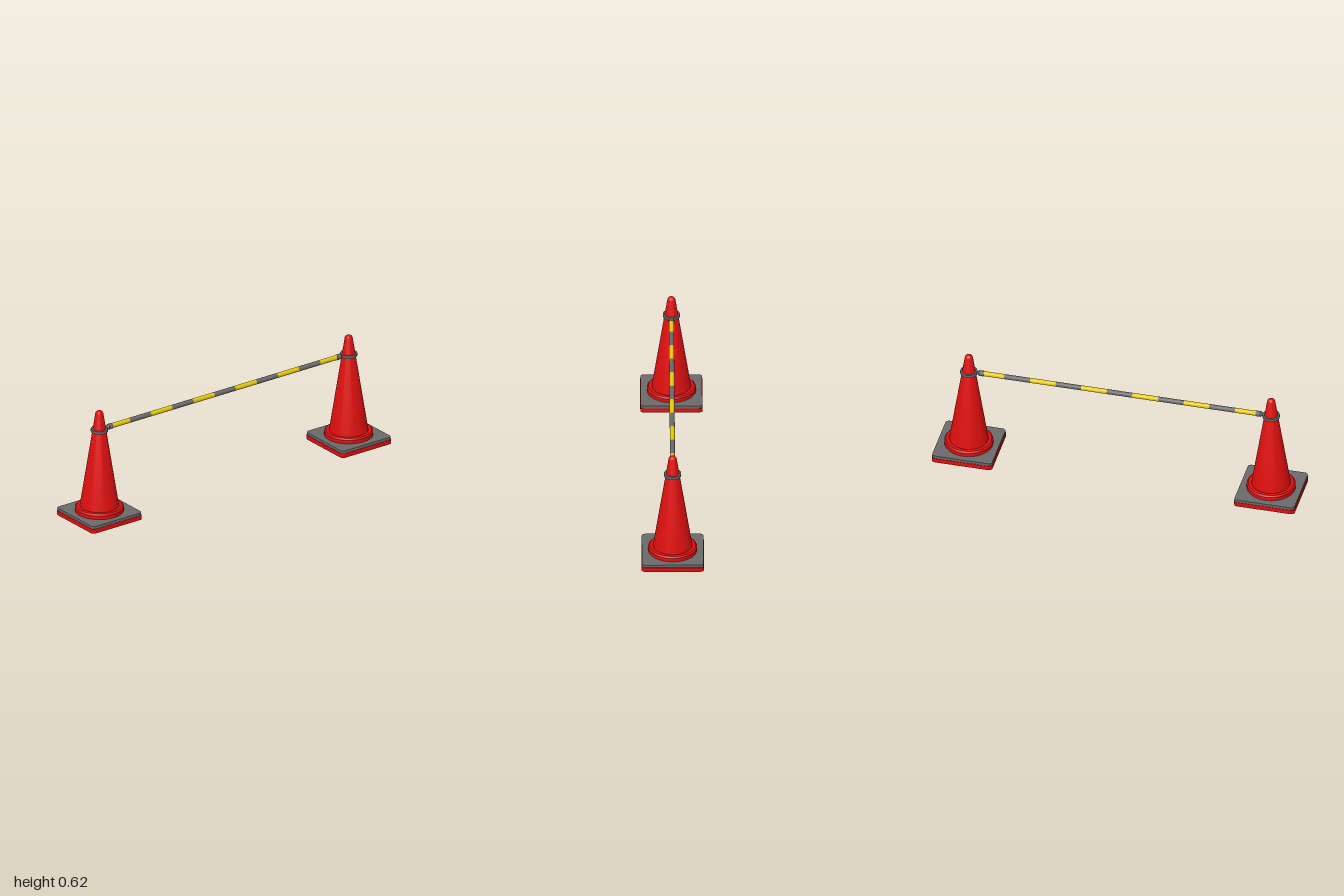
import * as THREE from 'three';
import { toCreasedNormals } from 'three/addons/utils/BufferGeometryUtils.js';

const material = (name, color) => {
  const m = new THREE.MeshStandardMaterial({ color });
  m.name = name;
  return m;
};

// Rounded square outline, as a Shape or as a Path for a hole
function roundedSquare(path, h, r) {
  path.moveTo(h - r, -h);
  path.absarc(h - r, -h + r, r, -Math.PI / 2, 0);
  path.absarc(h - r, h - r, r, 0, Math.PI / 2);
  path.absarc(-h + r, h - r, r, Math.PI / 2, Math.PI);
  path.absarc(-h + r, -h + r, r, Math.PI, Math.PI * 1.5);
  path.closePath();
  return path;
}

// Flat square slab with a hole, lying between y0 and y1
function slab(half, hole, y0, y1) {
  const shape = roundedSquare(new THREE.Shape(), half, 0.02);
  shape.holes.push(hole);
  const g = new THREE.ExtrudeGeometry(shape, { depth: y1 - y0, bevelEnabled: false, curveSegments: 16 });
  return toCreasedNormals(g.rotateX(-Math.PI / 2).translate(0, y0, 0), 0.6);
}

const roundHole = r => new THREE.Path().absarc(0, 0, r, 0, Math.PI * 2);

function lathe(points, segments = 48) {
  const g = new THREE.LatheGeometry(points.map(p => new THREE.Vector2(...p)), segments);
  return toCreasedNormals(g, 0.5);
}

export function createModel() {
  const red = material('red plastic', 0xdd0f0f);
  const grey = material('grey rubber', 0x6a6a6a);
  const yellow = material('yellow stripe', 0xe2c80e);
  const model = new THREE.Group();
  const add = (parent, name, geometry, mat) => {
    const mesh = new THREE.Mesh(geometry, mat);
    mesh.name = name;
    parent.add(mesh);
    return mesh;
  };

  // Hollow cone: collar, slope and domed tip outside, then back down inside
  const dome = [];
  for (let i = 0; i <= 8; i++) {
    const a = 0.15 + (Math.PI / 2 - 0.15) * i / 8;
    dome.push([i === 8 ? 0 : 0.022 * Math.cos(a), 0.6 + 0.022 * Math.sin(a)]);
  }
  const body = lathe([
    [0.131, 0.022], [0.131, 0.061], [0.123, 0.069], [0.105, 0.069],
    ...dome,
    [0, 0.606], [0.015, 0.595], [0.098, 0.06], [0.122, 0.06], [0.122, 0.02],
  ]);

  const rim = slab(0.167, roundedSquare(new THREE.Path(), 0.153, 0.012), 0, 0.025);
  const ceiling = slab(0.16, roundHole(0.122), 0.019, 0.0245);
  const weight = slab(0.165, roundHole(0.128), 0.025, 0.04);
  const clip = lathe([[0.036, 0.5], [0.046, 0.5], [0.046, 0.516], [0.036, 0.516], [0.036, 0.5]]);

  for (const side of [-1, 1]) {
    const cone = new THREE.Group();
    cone.name = side > 0 ? 'leftCone' : 'rightCone';
    cone.position.x = side * 0.833;
    model.add(cone);
    add(cone, 'coneBody', body, red);
    add(cone, 'baseRim', rim, red);
    add(cone, 'baseUnderside', ceiling, red);
    add(cone, 'baseWeight', weight, grey);
    add(cone, 'clipRing', clip, grey);
  }

  // Striped bar between the cones
  const bar = new THREE.Group();
  bar.name = 'bar';
  bar.position.y = 0.51;
  model.add(bar);
  const edges = [-0.753, -0.636, -0.494, -0.353, -0.212, -0.07, 0.07, 0.212, 0.353, 0.494, 0.636, 0.753];
  for (let i = 0; i < edges.length - 1; i++) {
    const length = edges[i + 1] - edges[i];
    const g = new THREE.CylinderGeometry(0.0135, 0.0135, length, 24, 1, true).rotateZ(Math.PI / 2);
    add(bar, i % 2 ? 'greyBand' : 'yellowBand', g, i % 2 ? grey : yellow).position.x = edges[i] + length / 2;
  }

  // End caps narrowing into the clip rings
  const cap = lathe([[0, 0.75], [0.0155, 0.75], [0.0155, 0.775], [0.007, 0.787], [0.007, 0.795], [0, 0.795]], 24);
  for (const side of [-1, 1]) {
    add(bar, side > 0 ? 'leftEndCap' : 'rightEndCap', cap, grey).rotation.z = -side * Math.PI / 2;
  }
  return model;
}
